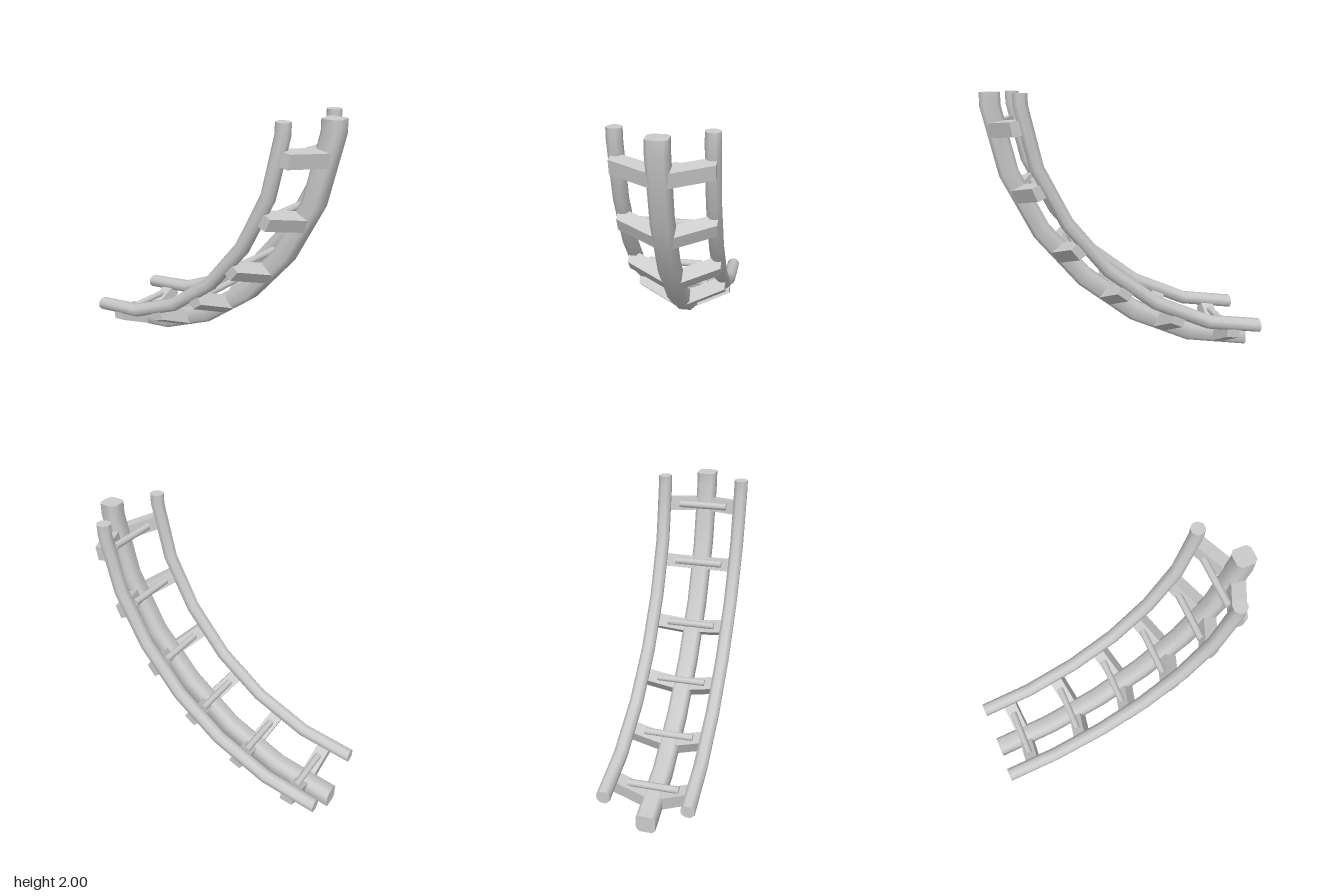
import * as THREE from 'three';
import { toCreasedNormals } from 'three/addons/utils/BufferGeometryUtils.js';

const material = new THREE.MeshStandardMaterial({ color: 0xcccccc });

function add(parent, geometry, name) {
  const mesh = new THREE.Mesh(geometry, material);
  mesh.name = name;
  parent.add(mesh);
  return mesh;
}

// Square section with cut corners, counter-clockwise in (x, outward)
function chamferedSection(h, c) {
  const k = h - c;
  return [[h, -k], [h, k], [k, h], [-k, h], [-h, k], [-h, -k], [-k, -h], [k, -h]];
}

// Sweep a section along a [z, y] path; ends are cut level and upright
function sweep(path, section, x0) {
  const last = path.length - 1;
  const rings = path.map(([z, y], i) => {
    let nz = 1, ny = 0;
    if (i === last) [nz, ny] = [0, -1];
    else if (i > 0) {
      const a = path[i - 1], b = path[i + 1];
      const d1 = Math.hypot(z - a[0], y - a[1]), d2 = Math.hypot(b[0] - z, b[1] - y);
      const tz = (z - a[0]) / d1 + (b[0] - z) / d2;
      const ty = (y - a[1]) / d1 + (b[1] - y) / d2;
      const len = Math.hypot(tz, ty);
      [nz, ny] = [-ty / len, tz / len];
    }
    return section.map(([u, v]) => [x0 + u, y + ny * v, z + nz * v]);
  });
  const pos = [];
  const n = section.length;
  const tri = (a, b, c) => pos.push(...a, ...b, ...c);
  for (let i = 0; i < last; i++) {
    for (let j = 0; j < n; j++) {
      const k = (j + 1) % n;
      tri(rings[i][j], rings[i][k], rings[i + 1][k]);
      tri(rings[i][j], rings[i + 1][k], rings[i + 1][j]);
    }
  }
  for (let j = 1; j < n - 1; j++) {
    tri(rings[0][0], rings[0][j + 1], rings[0][j]);
    tri(rings[last][0], rings[last][j], rings[last][j + 1]);
  }
  const geometry = new THREE.BufferGeometry();
  geometry.setAttribute('position', new THREE.Float32BufferAttribute(pos, 3));
  return toCreasedNormals(geometry, 0.9);
}

export function createModel() {
  const model = new THREE.Group();
  model.name = 'curvedTrack';

  // Thick spine on the outside of the curve
  const spinePath = [[0.93, 2], [0.93, 1.91], [0.818, 1.44], [0.6, 1.015],
    [0.29, 0.65], [-0.09, 0.355], [-0.53, 0.155], [-1, 0.075]];
  add(model, sweep(spinePath, chamferedSection(0.07, 0.025), 0), 'spine');

  // Pair of slim rails on the inside of the curve
  const railPath = [[0.752, 2], [0.752, 1.92], [0.655, 1.505], [0.455, 1.115],
    [0.17, 0.768], [-0.18, 0.5], [-0.59, 0.318], [-1, 0.255]];
  const railSection = chamferedSection(0.048, 0.028);
  add(model, sweep(railPath, railSection, 0.297), 'leftRail');
  add(model, sweep(railPath, railSection, -0.297), 'rightRail');

  // V-shaped tie in the plane across the track: x and distance out from the rails
  const chevron = new THREE.Shape([[0.325, -0.01], [0.325, 0.1], [0.05, 0.235], [-0.05, 0.235],
    [-0.325, 0.1], [-0.325, -0.01], [-0.05, 0.12], [0.05, 0.12]].map(p => new THREE.Vector2(...p)));
  const tieGeometry = new THREE.ExtrudeGeometry(chevron, { depth: 0.1, bevelEnabled: false });
  tieGeometry.translate(0, 0, -0.05);
  const rungGeometry = new THREE.CylinderGeometry(0.026, 0.026, 0.37, 8);
  rungGeometry.rotateZ(Math.PI / 2);

  // Ties with rungs: z, y and angle along the curve
  const stations = [[0.72, 1.783, 10], [0.585, 1.37, 24], [0.33, 0.963, 38.5],
    [0.01, 0.645, 53], [-0.372, 0.416, 67], [-0.793, 0.286, 82]];
  for (const [z, y, angle] of stations) {
    const tie = new THREE.Group();
    tie.name = 'crossTie';
    tie.position.set(0, y, z);
    tie.rotation.x = THREE.MathUtils.degToRad(90 + angle);
    add(tie, tieGeometry, 'tieArms');
    add(tie, rungGeometry, 'rung').position.y = 0.05;
    model.add(tie);
  }
  return model;
}
